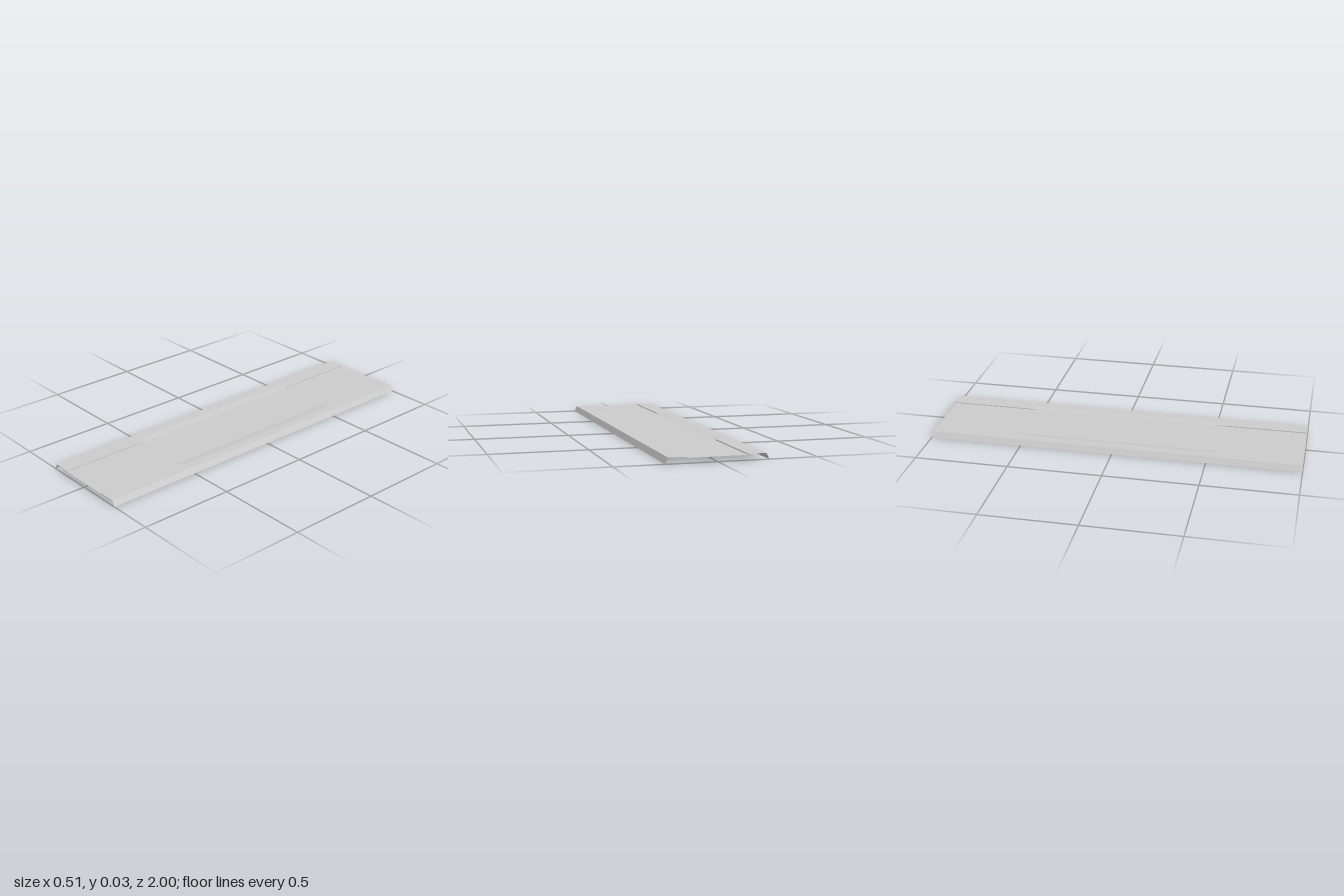
import * as THREE from 'three';

// Heights and half-widths of the folded sheet
const TOP = 0.03, DECK = 0.025;
const EDGE = 0.255, FOLD = 0.24, SLOPE = 0.19, STEP = 0.15;
// Lengthwise stations: sheet end, start and end of the step's run-out
const END = 1, RUN = 0.565, MID = 0.5;

const material = new THREE.MeshStandardMaterial({
  color: 0xcccccc, flatShading: true, side: THREE.DoubleSide,
});

// Flat polygon panel from corners given in order around its outline;
// mirroring in x reverses the order so the top stays the front.
function panel(name, corners, side = 1) {
  const pts = corners.map(([x, y, z]) => [x * side, y, z]);
  if (side < 0) pts.reverse();
  const outline = pts.map(([x, y, z]) => new THREE.Vector2(z, Math.abs(x) < 1e-9 ? y : x + y * 0.01));
  // Vertical panels are triangulated in z-y, all others in z-x
  const vertical = pts.every(p => p[0] === pts[0][0]);
  if (vertical) pts.forEach((p, i) => outline[i].set(p[2], p[1]));
  const flip = THREE.ShapeUtils.isClockWise(outline);
  const index = THREE.ShapeUtils.triangulateShape(outline, []).flat();
  if (flip !== (THREE.ShapeUtils.area(index.slice(0, 3).map(i => outline[i])) < 0)) index.reverse();
  const geometry = new THREE.BufferGeometry();
  geometry.setAttribute('position', new THREE.Float32BufferAttribute(pts.flat(), 3));
  geometry.setIndex(index);
  geometry.computeVertexNormals();
  const mesh = new THREE.Mesh(geometry, material);
  mesh.name = name;
  return mesh;
}

export function createModel() {
  const model = new THREE.Group();
  model.name = 'foldedSheet';

  // Sunken middle deck
  model.add(panel('deck', [
    [-STEP, DECK, END], [STEP, DECK, END], [STEP, DECK, -END], [-STEP, DECK, -END],
  ]));

  for (const side of [1, -1]) {
    const border = new THREE.Group();
    border.name = side > 0 ? 'leftBorder' : 'rightBorder';

    // Raised ledge, cut back along the middle
    border.add(panel('ledge', [
      [FOLD, TOP, END], [FOLD, TOP, -END], [STEP, TOP, -END], [STEP, TOP, -RUN],
      [SLOPE, TOP, -MID], [SLOPE, TOP, MID], [STEP, TOP, RUN], [STEP, TOP, END],
    ], side));

    // Outer lip folded down
    border.add(panel('lip', [
      [EDGE, 0, END], [EDGE, 0, -END], [FOLD, TOP, -END], [FOLD, TOP, END],
    ], side));

    // Gentle slope from the ledge to the deck along the middle
    border.add(panel('slope', [
      [SLOPE, TOP, MID], [SLOPE, TOP, -MID], [STEP, DECK, -MID], [STEP, DECK, MID],
    ], side));

    // Sharp step at both ends, with its triangular run-out
    for (const end of [1, -1]) {
      const step = [
        [STEP, DECK, end * END], [STEP, TOP, end * END],
        [STEP, TOP, end * RUN], [STEP, DECK, end * MID],
      ];
      const runOut = [
        [STEP, TOP, end * RUN], [SLOPE, TOP, end * MID], [STEP, DECK, end * MID],
      ];
      if (end < 0) { step.reverse(); runOut.reverse(); }
      border.add(panel('step', step, side), panel('runOut', runOut, side));
    }
    model.add(border);
  }
  return model;
}
